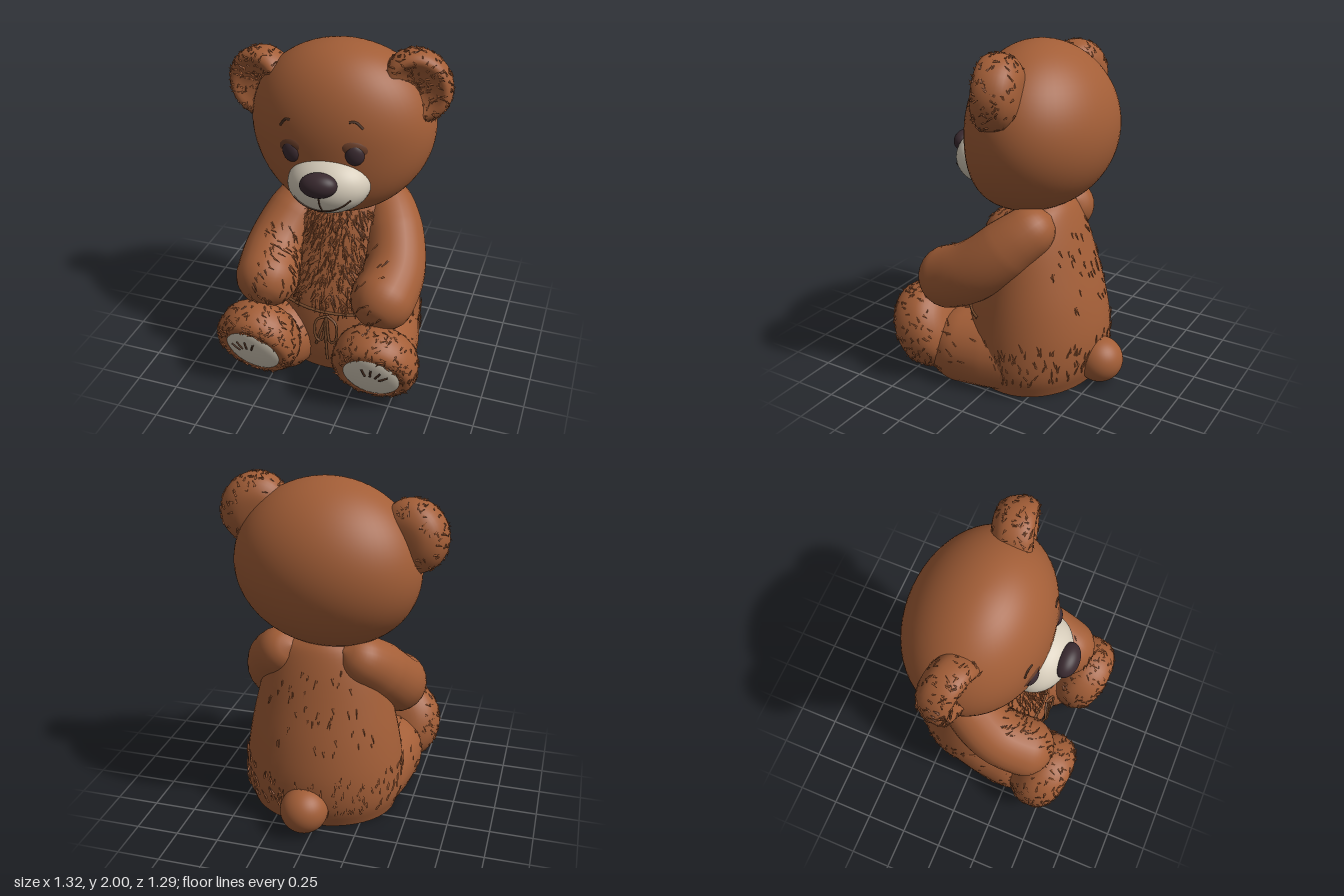
import * as THREE from 'three';
import { mergeGeometries, mergeVertices } from 'three/addons/utils/BufferGeometryUtils.js';

const V = (x, y, z) => new THREE.Vector3(x, y, z);
const mat = (name, color) => {
  const m = new THREE.MeshStandardMaterial({ color });
  m.name = name;
  return m;
};

export function createModel() {
  const brown = mat('brown plush', 0xa35e37);
  const cream = mat('cream plush', 0xd6ccba);
  const dark = mat('dark nose and eyes', 0x3a2a30);
  const shade = mat('eye socket brown', 0x6b3f2a);
  const thread = mat('thread', 0x4c3122);
  const cord = mat('waist cord', 0x7f5030);

  let seed = 7;
  const rnd = () => (seed = (seed * 16807) % 2147483647) / 2147483647;

  const add = (parent, name, geo, material) => {
    const m = new THREE.Mesh(geo, material);
    m.name = name;
    parent.add(m);
    return m;
  };
  const group = (parent, name, x, y, z) => {
    const g = new THREE.Group();
    g.name = name;
    g.position.set(x, y, z);
    parent.add(g);
    return g;
  };
  const ball = (parent, name, material, r, p) => {
    const m = add(parent, name, new THREE.SphereGeometry(1, 40, 28), material);
    m.scale.set(...r);
    m.position.set(...p);
    return m;
  };
  const line = (parent, name, pts, r, material) =>
    add(parent, name, new THREE.TubeGeometry(new THREE.CatmullRomCurve3(pts), 20, r, 6), material);

  // Tapered limb with rounded ends, flattened where it meets the ground
  const limb = (pts, radii) => {
    const curve = new THREE.CatmullRomCurve3(pts), N = 48, S = 24, L = curve.getLength();
    const geo = new THREE.TubeGeometry(curve, N, 1, S);
    const p = geo.attributes.position, n = geo.attributes.normal;
    for (let i = 0; i <= N; i++) {
      const u = i / N, c = curve.getPointAt(u);
      const f = u * (radii.length - 1), k = Math.min(Math.floor(f), radii.length - 2);
      const R = THREE.MathUtils.lerp(radii[k], radii[k + 1], f - k);
      const e = Math.min(1, Math.min(u, 1 - u) * L / R);
      const r = Math.max(0.002, R * Math.sqrt(1 - (1 - e) ** 2));
      for (let j = 0; j <= S; j++) {
        const q = i * (S + 1) + j;
        p.setXYZ(q, c.x + n.getX(q) * r, Math.max(0, c.y + n.getY(q) * r), c.z + n.getZ(q) * r);
      }
    }
    geo.deleteAttribute('uv');
    geo.deleteAttribute('normal');
    const out = mergeVertices(geo, 1e-5);
    out.computeVertexNormals();
    return out;
  };

  // Round form turned about its forward axis; profile is [radius, depth]
  const turned = profile => {
    const pts = new THREE.SplineCurve(profile.map(([r, d]) => new THREE.Vector2(r, d))).getPoints(28);
    pts.forEach(q => { q.x = Math.max(0, q.x); });
    return new THREE.LatheGeometry(pts, 40).rotateX(Math.PI / 2);
  };

  // Scatter small tapered strands over a surface
  const fur = (parent, name, geo, count, keep, flow, length = 0.05) => {
    const p = geo.attributes.position, n = geo.attributes.normal, idx = geo.index, out = [];
    const tris = idx.count / 3, up = V(0, 1, 0);
    for (let tries = 0; out.length < count && tries < 60000; tries++) {
      const t = Math.floor(rnd() * tris) * 3, w = [rnd(), rnd(), rnd()];
      const sum = w[0] + w[1] + w[2], at = V(0, 0, 0), nor = V(0, 0, 0);
      w.forEach((k, i) => {
        at.addScaledVector(V(0, 0, 0).fromBufferAttribute(p, idx.getX(t + i)), k / sum);
        nor.addScaledVector(V(0, 0, 0).fromBufferAttribute(n, idx.getX(t + i)), k / sum);
      });
      if (!keep(at)) continue;
      const dir = flow(at).add(V(rnd() - 0.5, rnd() - 0.5, rnd() - 0.5));
      dir.addScaledVector(nor, -dir.dot(nor)).normalize().addScaledVector(nor, 0.18).normalize();
      const l = length * (0.6 + rnd() * 0.7);
      const g = new THREE.ConeGeometry(0.008, l, 3).translate(0, l * 0.4, 0);
      g.applyQuaternion(new THREE.Quaternion().setFromUnitVectors(up, dir)).translate(at.x, at.y, at.z);
      out.push(g);
    }
    if (out.length) add(parent, name, mergeGeometries(out), brown);
  };

  const model = new THREE.Group();
  model.name = 'teddyBear';
  const trunk = group(model, 'trunk', 0.04, 0, 0);

  // Torso: rows of [half width, height, front z, back z]
  const rows = [[0.44, 0, 0.29, -0.46], [0.48, 0.13, 0.32, -0.505], [0.475, 0.3, 0.32, -0.51], [0.445, 0.5, 0.28, -0.473],
    [0.4, 0.7, 0.2, -0.415], [0.345, 0.9, 0.11, -0.35], [0.28, 1.03, 0.01, -0.295], [0.16, 1.09, -0.06, -0.25]];
  const front = new THREE.CatmullRomCurve3(rows.map(r => V(r[0], r[1], r[2])), false, 'catmullrom');
  const back = new THREE.CatmullRomCurve3(rows.map(r => V(0, r[1], r[3])), false, 'catmullrom');
  const S = 48, verts = [], faces = [];
  const ring = (t, k = 1) => {
    const a = front.getPoint(t), b = back.getPoint(t), zc = -0.1;
    for (let j = 0; j < S; j++) {
      const th = j / S * Math.PI * 2, s = Math.sin(th);
      verts.push(a.x * Math.cos(th) * k, Math.max(0, a.y), zc + (s > 0 ? a.z - zc : zc - b.z) * s * k);
    }
  };
  ring(0, 0.001);
  ring(0);
  for (let i = 0; i <= 30; i++) ring(i / 30);
  ring(1, 0.001);
  for (let i = 0; i < verts.length / 3 / S - 1; i++) {
    for (let j = 0; j < S; j++) {
      const a = i * S + j, b = i * S + (j + 1) % S;
      faces.push(a, a + S, b, b, a + S, b + S);
    }
  }
  const torso = new THREE.BufferGeometry();
  torso.setAttribute('position', new THREE.Float32BufferAttribute(verts, 3));
  torso.setIndex(faces);
  torso.computeVertexNormals();
  add(trunk, 'torso', torso, brown);
  fur(trunk, 'chestFur', torso, 380, p => p.z > -0.02 && Math.abs(p.x) < 0.19 && p.y > 0.45 && p.y < 1.0,
    p => V(p.x * 3, -1, 0.2), 0.07);
  fur(trunk, 'haunchFur', torso, 170, p => p.y > 0.08 && p.y < 0.32 && p.z < 0.2, () => V(0, 1.2, 0), 0.06);
  fur(trunk, 'backFur', torso, 40, p => p.y > 0.5 && p.y < 0.95 && p.z < -0.3, () => V(0, -1.5, 0));
  ball(trunk, 'tail', brown, [0.14, 0.135, 0.14], [0.01, 0.136, -0.51]);

  // Waist cord with hanging bow
  const waist = [];
  for (let i = 0; i <= 16; i++) {
    const th = Math.PI * (0.15 + 0.7 * i / 16);
    waist.push(V(0.46 * Math.cos(th), 0.43, -0.1 + 0.402 * Math.sin(th)));
  }
  line(trunk, 'waistCord', waist, 0.009, cord);
  for (const s of [-1, 1]) {
    line(trunk, 'bowLoop', [V(0.02, 0.42, 0.32), V(0.02 + s * 0.06, 0.39, 0.34), V(0.02 + s * 0.06, 0.27, 0.35),
      V(0.02 + s * 0.03, 0.25, 0.35), V(0.02, 0.42, 0.33)], 0.008, cord);
    line(trunk, 'bowEnd', [V(0.02, 0.42, 0.32), V(s * 0.02, 0.3, 0.345), V(s * 0.035 - 0.01, 0.16 - s * 0.05, 0.335)],
      0.008, cord);
  }

  for (const s of [-1, 1]) {
    const side = s > 0 ? 'left' : 'right';
    // Arm reaching down and forward
    const arm = limb([V(s * 0.15, 1.05, -0.25), V(s * 0.28, 0.92, -0.11), V(s * 0.37, 0.71, 0.13), V(s * 0.325, 0.55, 0.475)],
      [0.13, 0.17, 0.182, 0.19]);
    add(trunk, side + 'Arm', arm, brown);
    fur(trunk, side + 'ArmFur', arm, s > 0 ? 25 : 90, p => p.z > 0.15 && s * p.x < 0.4 && p.y > 0.5,
      () => V(-s * 0.6, -0.7, 0.3));
    // Leg lying flat along the ground, thick at the hip
    const leg = limb([V(s * 0.16, 0.16, -0.28), V(s * 0.275, 0.16, 0.1), V(s * 0.355, 0.17, 0.475)], [0.27, 0.25, 0.21]);
    add(trunk, side + 'Leg', leg, brown);
    fur(trunk, side + 'LegFur', leg, 60, p => p.z > 0.05 && p.y > 0.05, () => V(0, 0.4, 1));
    // Foot with cream pad and stitched toes
    const foot = group(trunk, side + 'Foot', s * 0.36, 0.28, 0.445);
    foot.rotation.set(0.39, s * 0.04, 0);
    const shape = turned([[0, -0.16], [0.13, -0.15], [0.22, -0.09], [0.25, 0], [0.24, 0.08], [0.2, 0.12], [0.13, 0.105],
      [0, 0.09]]).scale(1, 1.05, 1);
    add(foot, side + 'FootPlush', shape, brown);
    fur(foot, side + 'FootFur', shape, 280, p => Math.hypot(p.x, p.y) > 0.18, p => V(p.x, p.y, 0.2), 0.035);
    const pad = { r: [0.18, 0.215, 0.065], y: 0.004, z: 0.088 };
    ball(foot, side + 'SolePad', cream, pad.r, [0, pad.y, pad.z]);
    for (const deg of [28, 55, 82, 108]) {
      const at = r => {
        const x = s * r * Math.cos(deg * Math.PI / 180), y = r * Math.sin(deg * Math.PI / 180) + 0.01;
        return V(x, y + pad.y, pad.z + 0.002 + pad.r[2] * Math.sqrt(1 - (x / pad.r[0]) ** 2 - (y / pad.r[1]) ** 2));
      };
      line(foot, side + 'ToeStitch', [at(0.065), at(0.095), at(0.125)], 0.006, thread);
    }
  }

  // Head, tipped a little to one side, with full cheeks
  const head = group(model, 'head', 0.018, 1.5, -0.105);
  head.rotation.z = 0.1;
  const H = [0.537, 0.49, 0.405];
  const bulge = (y, z) => y * y * (y < 0 ? 0.4 + 0.6 * z : 0.15);
  const skull = new THREE.SphereGeometry(1, 56, 40).scale(...H);
  const sp = skull.attributes.position;
  for (let i = 0; i < sp.count; i++) sp.setZ(i, sp.getZ(i) + bulge(sp.getY(i), sp.getZ(i)));
  skull.deleteAttribute('uv');
  skull.deleteAttribute('normal');
  const skullGeo = mergeVertices(skull, 1e-5);
  skullGeo.computeVertexNormals();
  add(head, 'skull', skullGeo, brown);
  const onSkull = (x, y) => {
    const z = H[2] * Math.sqrt(1 - (x / H[0]) ** 2 - (y / H[1]) ** 2);
    return V(x, y, z + bulge(y, z));
  };
  const M = { r: [0.237, 0.168, 0.185], p: [0.008, -0.22, 0.34] };
  ball(head, 'muzzle', cream, M.r, M.p);
  ball(head, 'nose', dark, [0.106, 0.07, 0.07], [0.008, -0.158, 0.505]);
  const onMuzzle = (x, y) => V(x + M.p[0], y + M.p[1],
    M.p[2] + 0.002 + M.r[2] * Math.sqrt(1 - (x / M.r[0]) ** 2 - (y / M.r[1]) ** 2));
  line(head, 'mouth', [-0.165, -0.12, -0.06, 0, 0.06, 0.12, 0.165].map(x => onMuzzle(x, -0.105 + 2.6 * x * x)), 0.005, thread);
  line(head, 'lipSeam', [onMuzzle(0, 0.02), onMuzzle(0, -0.05), onMuzzle(0, -0.105)], 0.0045, thread);

  for (const s of [-1, 1]) {
    const side = s > 0 ? 'left' : 'right';
    const socket = ball(head, side + 'EyeSocket', shade, [0.078, 0.05, 0.022], [s * 0.187, 0.002, 0.365]);
    socket.rotation.set(0, s * 0.3, -s * 0.25);
    const eye = ball(head, side + 'Eye', dark, [0.053, 0.06, 0.03], [s * 0.183, -0.032, 0.373]);
    eye.rotation.y = s * 0.25;
    line(head, side + 'Eyebrow', [onSkull(s * 0.165, 0.155), onSkull(s * 0.2, 0.152), onSkull(s * 0.235, 0.115)], 0.007, thread);
    // Thick cupped ear, longest along the edge of the head
    const ear = group(head, side + 'Ear', s * 0.455, 0.245, 0.042);
    ear.rotation.set(0, s * 0.24, s * 0.5);
    const cup = turned([[0, -0.145], [0.1, -0.135], [0.17, -0.085], [0.192, -0.01], [0.182, 0.06], [0.145, 0.09],
      [0.09, 0.06], [0, 0.025]]).scale(1, 1.08, 1);
    add(ear, side + 'EarPlush', cup, brown);
    fur(ear, side + 'EarFur', cup, 280, p => p.z > -0.13, p => V(p.x * 4, p.y * 4, 0), 0.032);
  }
  return model;
}
